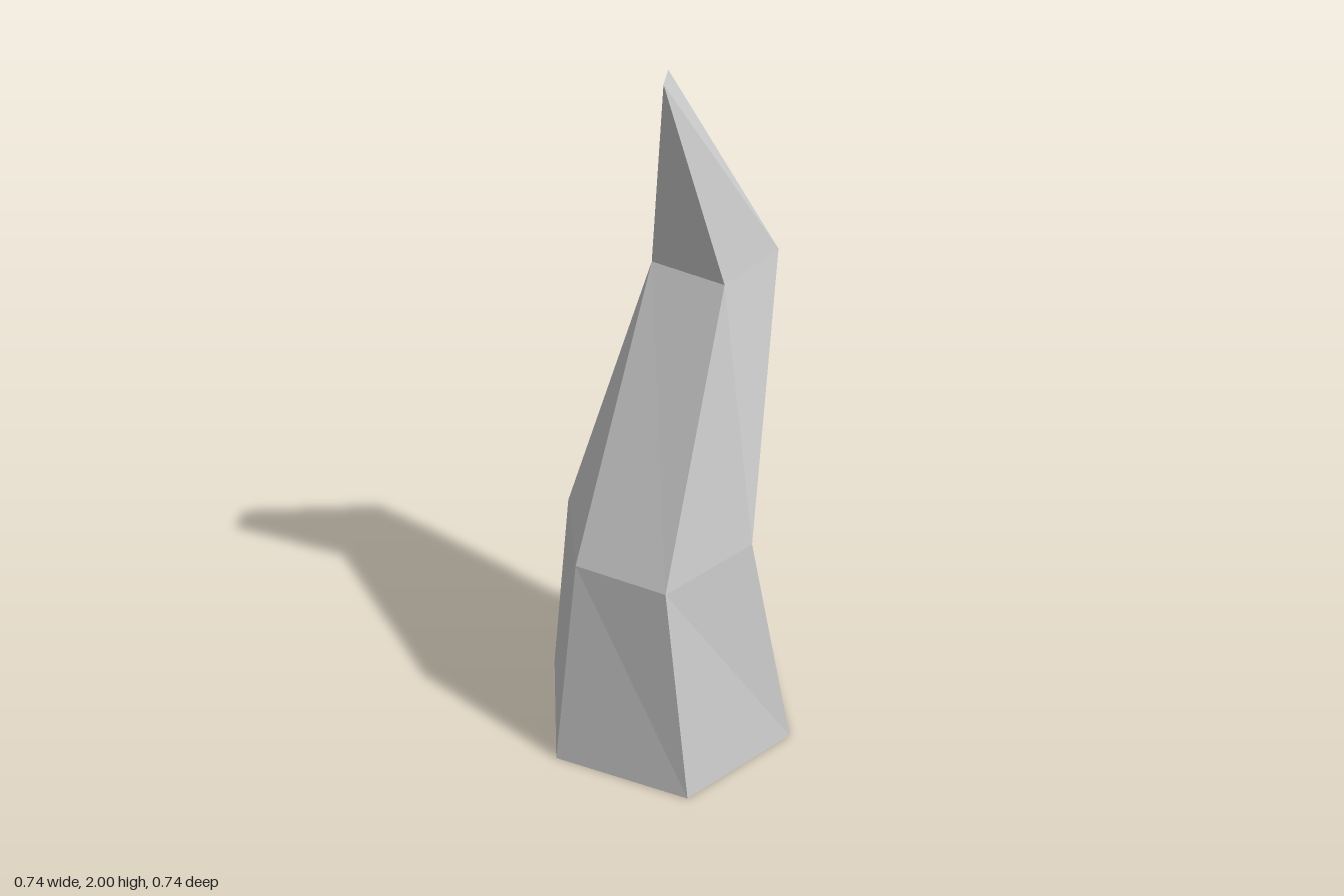
import * as THREE from 'three';

// Cross-sections from base to tip, six corners each, counter-clockwise from above.
// Repeated corners let the hexagon narrow to a quad and then to a short ridge.
const A = [-0.08, 1.46, -0.05], B = [0.122, 1.45, -0.088];
const C = [0.125, 1.455, -0.31], D = [-0.132, 1.46, -0.285];
const tipBack = [-0.018, 2, -0.038], tipFront = [0.025, 2, 0.032];
const rings = [
  [[-0.37, 0, 0.075], [-0.097, 0, 0.37], [0.29, 0, 0.252], [0.37, 0, -0.124], [0.103, 0, -0.372], [-0.253, 0, -0.29]],
  [[-0.258, 0.7, 0.103], [-0.068, 0.685, 0.288], [0.19, 0.685, 0.227], [0.27, 0.725, -0.04], [0.075, 0.69, -0.245], [-0.2, 0.7, -0.165]],
  [A, A, B, C, C, D],
  [tipFront, tipFront, tipFront, tipFront, tipBack, tipBack],
];

function hornGeometry() {
  const positions = [];
  const triangle = (a, b, c) => {
    if (a !== b && b !== c && c !== a) positions.push(...a, ...b, ...c);
  };
  // Side facets between neighbouring sections
  for (let i = 0; i < rings.length - 1; i++) {
    for (let j = 0; j < 6; j++) {
      const k = (j + 1) % 6;
      const a = rings[i][j], b = rings[i][k], c = rings[i + 1][k], d = rings[i + 1][j];
      triangle(a, b, d);
      triangle(b, c, d);
    }
  }
  // Flat underside
  const base = rings[0];
  for (let j = 1; j < 5; j++) triangle(base[0], base[j + 1], base[j]);

  const geometry = new THREE.BufferGeometry();
  geometry.setAttribute('position', new THREE.Float32BufferAttribute(positions, 3));
  geometry.computeVertexNormals();
  return geometry;
}

export function createModel() {
  const group = new THREE.Group();
  const material = new THREE.MeshStandardMaterial({ color: 0xcccccc, flatShading: true });
  const horn = new THREE.Mesh(hornGeometry(), material);
  horn.name = 'bentHorn';
  group.add(horn);
  return group;
}
